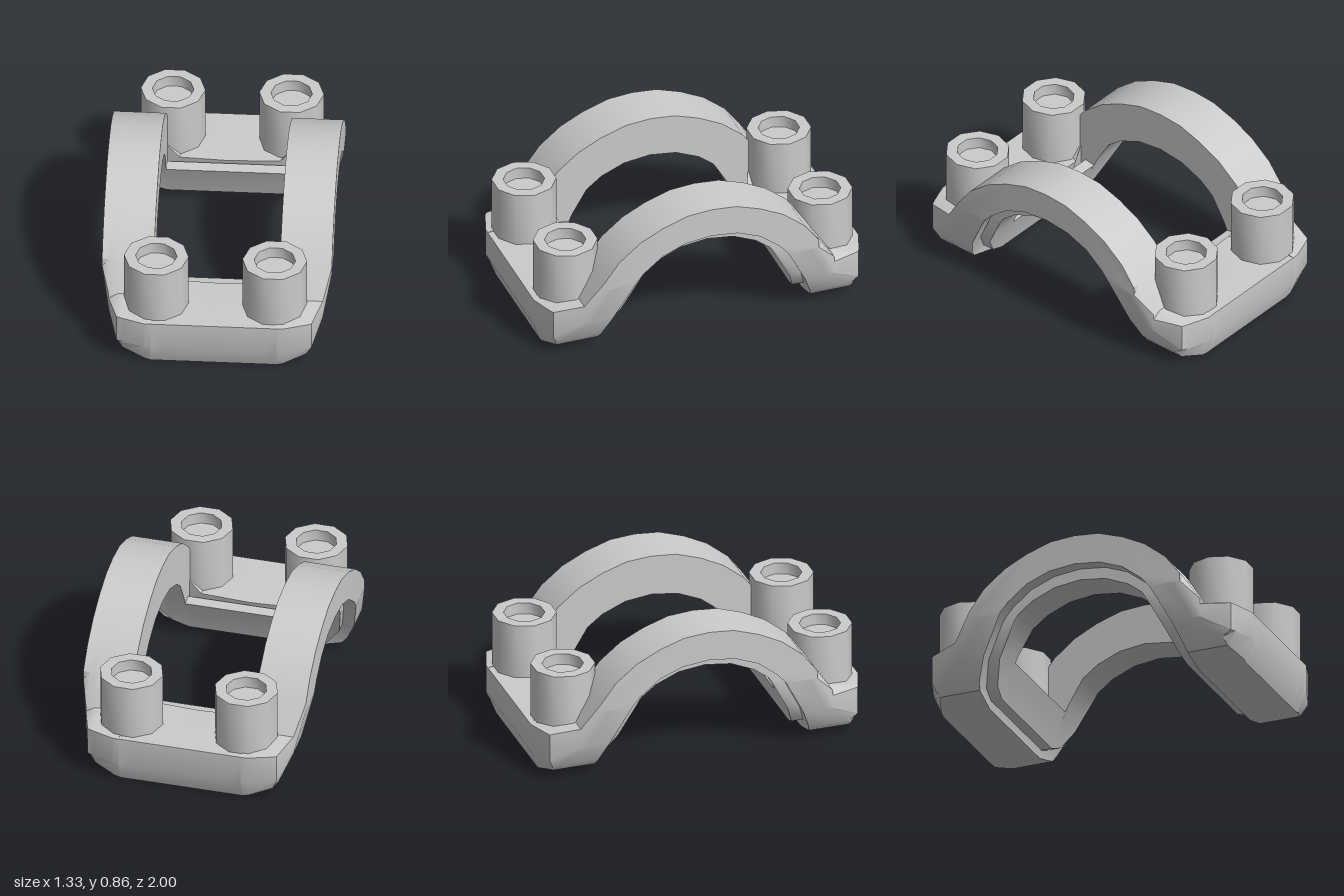
import * as THREE from 'three';
import { toCreasedNormals } from 'three/addons/utils/BufferGeometryUtils.js';

const material = new THREE.MeshStandardMaterial({ color: 0xcccccc });

// Half profiles as [z, y]
const TOP = [[0, .857], [.15, .845], [.3, .795], [.44, .725], [.57, .62], [.66, .5], [.77, .335]];
const UNDER = [[.66, 0], [.65, .07], [.6, .2], [.53, .35], [.47, .45], [.42, .51], [.3, .605], [.16, .66], [0, .678]];
const LIP = [[.585, .05], [.55, .15], [.48, .31], [.39, .46], [.3, .53], [.16, .59], [0, .61]];

// z of a rising profile at height y
function zAt(profile, y) {
  for (let i = 1; i < profile.length; i++) {
    const [z0, y0] = profile[i - 1], [z1, y1] = profile[i];
    if (y <= y1) return z0 + (z1 - z0) * Math.max(0, (y - y0) / (y1 - y0));
  }
  return 0;
}
// Profile cut off level at a given height
const cutAt = (profile, low) => profile.map(([z, y]) => (y < low ? [zAt(profile, low), low] : [z, y]));

const flip = (pts) => pts.map(([z, y]) => [-z, y]).reverse();

// Closed arch loop from its outer half (crown outward) and inner half (foot to crown)
const archLoop = (outer, inner) => [
  ...outer.slice().reverse(),
  ...outer.slice(1).map(([z, y]) => [-z, y]),
  ...inner.map(([z, y]) => [-z, y]),
  ...inner.slice(0, -1).reverse(),
];

// Skin between counterclockwise (z, y) loops at rising x, with end caps
function loft(stations, crease = .6) {
  const pos = [];
  const tri = (...pts) => {
    const [a, b, c] = pts.map((p) => new THREE.Vector3(...p));
    if (b.clone().sub(a).cross(c.clone().sub(a)).length() > 1e-7) pts.forEach((p) => pos.push(...p));
  };
  const at = (s, i) => {
    const [z, y] = s.loop[i % s.loop.length];
    return [s.x, y, z];
  };
  for (let k = 1; k < stations.length; k++) {
    const s = stations[k - 1], t = stations[k];
    for (let i = 0; i < s.loop.length; i++) {
      tri(at(s, i), at(t, i + 1), at(s, i + 1));
      tri(at(s, i), at(t, i), at(t, i + 1));
    }
  }
  const cap = (s, reverse) => {
    const faces = THREE.ShapeUtils.triangulateShape(s.loop.map((p) => new THREE.Vector2(...p)), []);
    for (const [a, b, c] of faces) {
      if (reverse) tri(at(s, a), at(s, c), at(s, b));
      else tri(at(s, a), at(s, b), at(s, c));
    }
  };
  cap(stations[0], false);
  cap(stations[stations.length - 1], true);
  const geometry = new THREE.BufferGeometry();
  geometry.setAttribute('position', new THREE.Float32BufferAttribute(pos, 3));
  return toCreasedNormals(geometry, crease);
}

const mirrorX = (stations) => stations.map((s) => ({ x: -s.x, loop: s.loop })).reverse();

export function createModel() {
  const group = new THREE.Group();
  const add = (name, geometry) => {
    const mesh = new THREE.Mesh(geometry, material);
    mesh.name = name;
    group.add(mesh);
    return mesh;
  };

  // Side arches: [x, furthest z, lowest y], feet tapering towards the outside
  const arch = [
    [.365, 1, 0], [.4, 1, .01], [.53, .955, .05], [.565, .94, .095], [.62, .77, .22], [.665, .66, .45],
  ].map(([x, reach, low]) => {
    const outer = [...TOP, [1, .3], [1, .13]].map(([z, y]) => [Math.min(z, reach), Math.max(y, low)]);
    outer.push([reach - .05, low]);
    return { x, loop: archLoop(outer, cutAt(UNDER, low)) };
  });

  // Raised lip lining the underside of each arch
  const lip = [[.365, .05], [.46, .09], [.55, .22], [.585, .42]].map(([x, low]) => ({
    x, loop: archLoop(cutAt(UNDER, low).slice().reverse(), cutAt(LIP, low)),
  }));

  for (const [side, place] of [['left', (s) => s], ['right', mirrorX]]) {
    add(side + 'Arch', loft(place(arch)));
    add(side + 'ArchLip', loft(place(lip)));
  }

  // End bars joining the arches, dipping slightly in the middle
  const bar = [[-.365, .36], [-.29, .3], [0, .288], [.29, .3], [.365, .36]].map(([x, y]) => ({
    x, loop: [[.66, 0], [.95, 0], [1, .13], [1, .3], [.77, .3], [y > .3 ? .6 : .575, y], [.6, .2], [.65, .07]],
  }));
  const barLip = [-.365, .365].map((x) => ({
    x, loop: [[.585, .05], [.65, .05], [.6, .2], [.565, .275], [.5, .265], [.55, .15]],
  }));
  const backward = (stations) => stations.map((s) => ({ x: s.x, loop: flip(s.loop) }));
  for (const [end, place] of [['front', (s) => s], ['back', backward]]) {
    add(end + 'Bar', loft(place(bar)));
    add(end + 'BarLip', loft(place(barLip)));
  }

  // Bolt posts with a recessed socket
  const postProfile = [[.187, .25], [.187, .635], [.12, .635], [.12, .565], [0, .565]]
    .map((p) => new THREE.Vector2(...p));
  const post = toCreasedNormals(new THREE.LatheGeometry(postProfile, 10, Math.PI / 2), .7);
  for (const x of [-.343, .343]) {
    for (const z of [-.785, .785]) {
      add((z > 0 ? 'front' : 'back') + (x > 0 ? 'Left' : 'Right') + 'Post', post).position.set(x, 0, z);
    }
  }
  return group;
}
